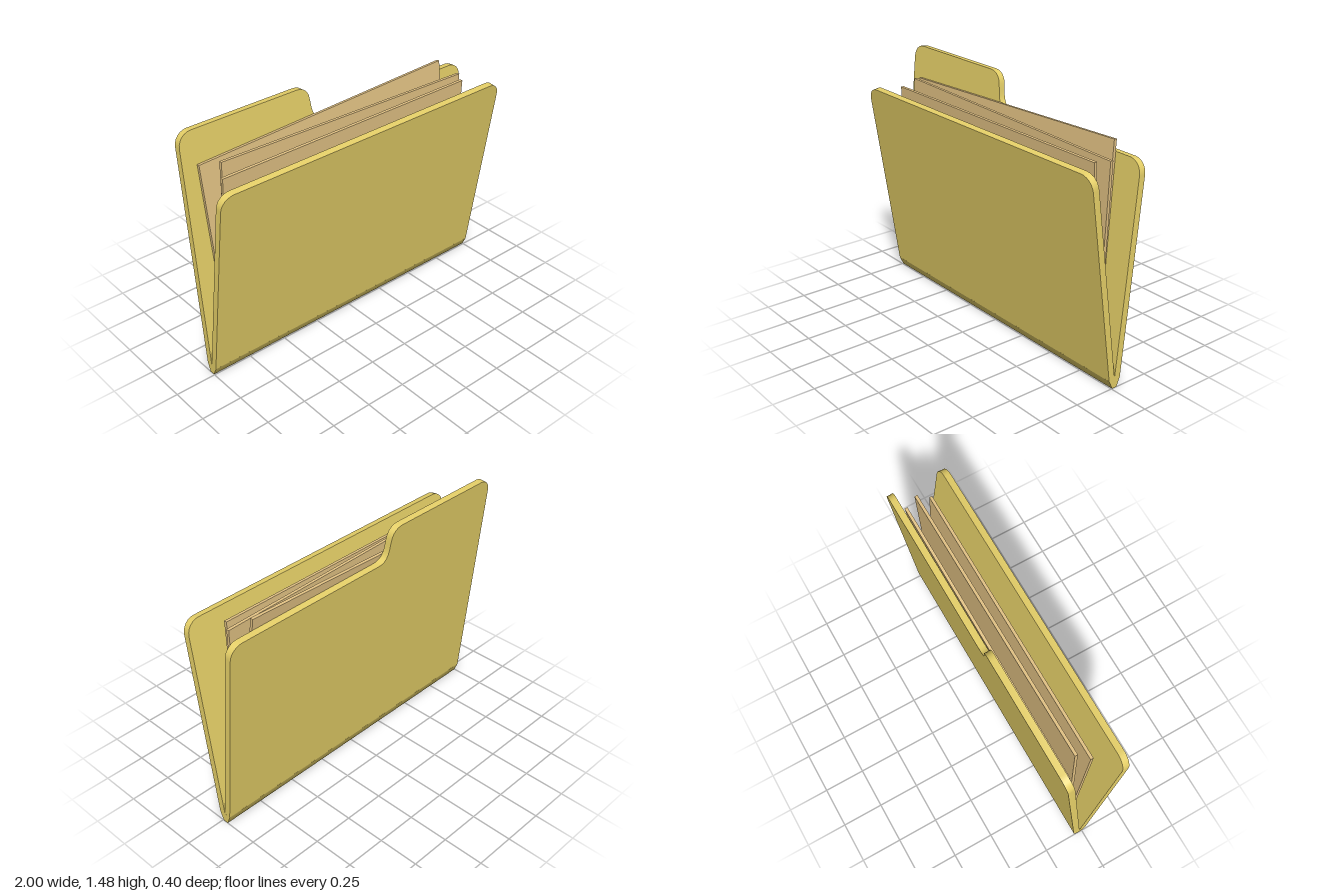
import * as THREE from 'three';
import { toCreasedNormals } from 'three/addons/utils/BufferGeometryUtils.js';

const THICK = 0.04;
const FOLD_Y = 0.06, FOLD_Z = -0.02; // inner crease where both covers meet

export function createModel() {
  const model = new THREE.Group();
  model.name = 'folder';
  const card = new THREE.MeshStandardMaterial({ color: 0xe6d068 });
  const paper = new THREE.MeshStandardMaterial({ color: 0xe2c284 });

  const extrude = (shape, depth, crease) => toCreasedNormals(
    new THREE.ExtrudeGeometry(shape, { depth, bevelEnabled: false, curveSegments: 6 }), crease);

  const add = (name, geometry, material) => {
    const mesh = new THREE.Mesh(geometry, material);
    mesh.name = name;
    model.add(mesh);
    return mesh;
  };

  // Cover hinged at the crease; z0 puts its thickness outside the fold
  const addCover = (name, shape, lean, z0) => {
    const mesh = add(name, extrude(shape, THICK, 0.6).translate(0, 0, z0), card);
    mesh.position.set(0, FOLD_Y, FOLD_Z);
    mesh.rotation.x = lean;
  };

  // Front cover: plain sheet with rounded top corners
  const h = 1.223, r = 0.08;
  const front = new THREE.Shape();
  front.moveTo(-1, 0);
  front.lineTo(1, 0);
  front.lineTo(1, h - r);
  front.bezierCurveTo(1, h - 0.035, 0.965, h, 1 - r, h);
  front.lineTo(-1 + r, h);
  front.bezierCurveTo(-0.965, h, -1, h - 0.035, -1, h - r);
  front.closePath();
  addCover('frontCover', front, 0.148, 0);

  // Back cover: taller tab over one side, with a curved step down
  const tab = 1.427;
  const back = new THREE.Shape();
  back.moveTo(-1, 0);
  back.lineTo(1, 0);
  back.lineTo(1, h - r);
  back.bezierCurveTo(1, h - 0.035, 0.965, h, 1 - r, h);
  back.lineTo(-0.07, h);
  back.bezierCurveTo(-0.12, h, -0.145, h + 0.03, -0.15, h + 0.1);
  back.lineTo(-0.155, tab - 0.07);
  back.bezierCurveTo(-0.16, tab - 0.03, -0.19, tab, -0.235, tab);
  back.lineTo(-1 + r, tab);
  back.bezierCurveTo(-0.965, tab, -1, tab - 0.035, -1, tab - r);
  back.closePath();
  addCover('backCover', back, -0.096, -THICK);

  // Spine: bevelled strip joining the covers, profile drawn as (-z, y)
  const strip = new THREE.Shape([
    [0.02, 0.06], [-0.0196, 0.054], [0.006, 0], [0.038, 0], [0.06, 0.056],
  ].map(([x, y]) => new THREE.Vector2(x, y)));
  add('spine', extrude(strip, 2, 1.2).translate(0, 0, -1).rotateY(Math.PI / 2), card);

  // Loose sheets: top centre, lean about x, skew about z
  [
    ['frontSheet', -0.015, 1.265, 0.034, 0.04, 0.001],
    ['middleSheet', 0.03, 1.292, -0.036, -0.018, -0.026],
    ['rearSheet', -0.048, 1.315, -0.13, -0.096, 0.035],
  ].forEach(([name, x, y, z, lean, skew]) => {
    const sheet = add(name, new THREE.BoxGeometry(1.73, 1.165, 0.018).translate(0, -0.5825, 0), paper);
    sheet.position.set(x, y, z);
    sheet.rotation.set(lean, 0, skew);
  });

  return model;
}
